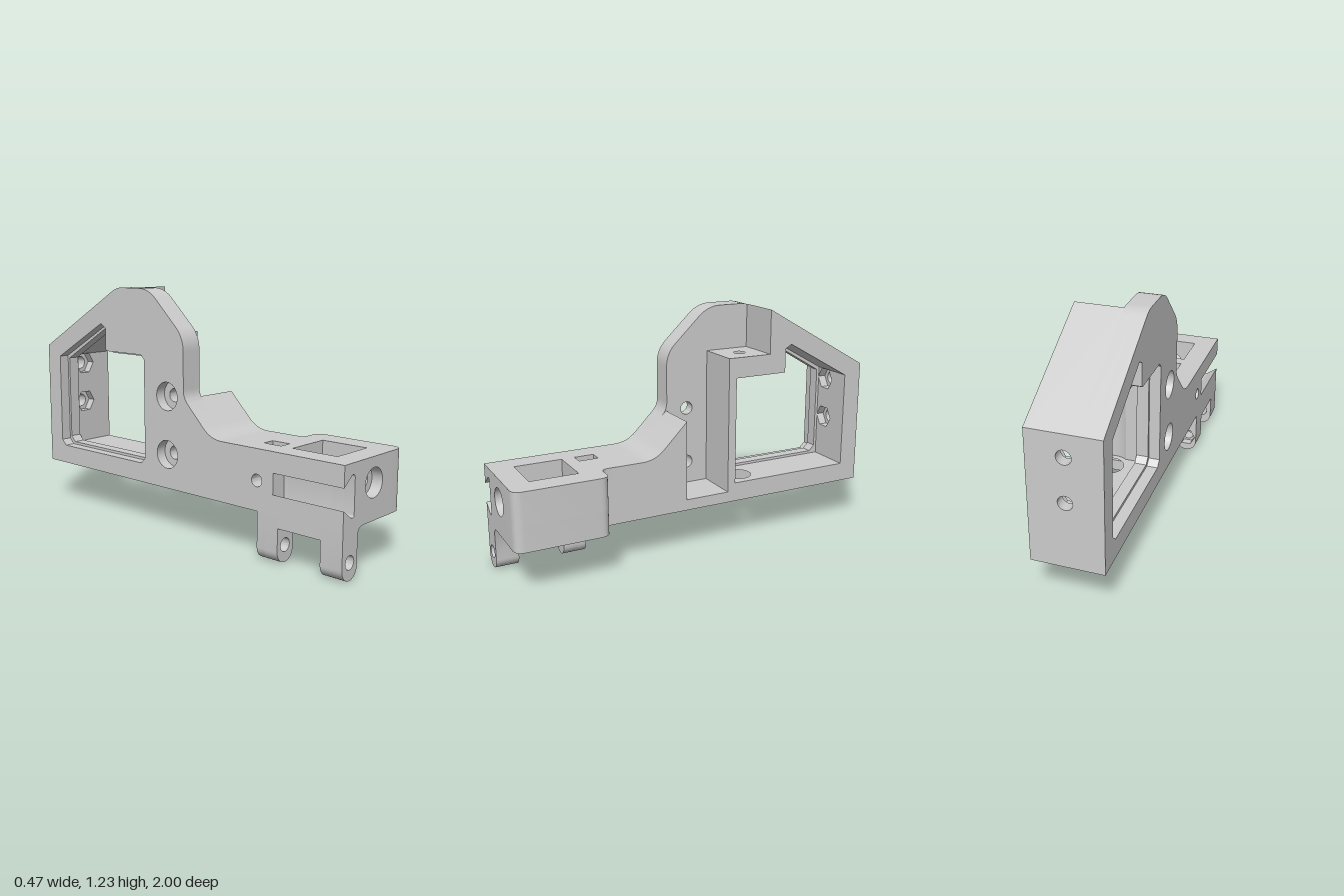
import * as THREE from 'three';
import { toCreasedNormals } from 'three/addons/utils/BufferGeometryUtils.js';

const L = -0.235, R = 0.115, MID = -0.12; // body sides and inner face of the thin wall

// Closed outline from [a, b, cornerRadius?] points; a radius rounds that corner.
function outline(points, path) {
  const n = points.length;
  points.forEach((p, i) => {
    const c = new THREE.Vector2(p[0], p[1]);
    const towards = (q) => new THREE.Vector2(q[0], q[1]).sub(c).setLength(p[2]).add(c);
    const move = (v) => (i === 0 ? path.moveTo(v.x, v.y) : path.lineTo(v.x, v.y));
    if (p[2]) {
      const a = towards(points[(i + n - 1) % n]), b = towards(points[(i + 1) % n]);
      move(a);
      path.quadraticCurveTo(c.x, c.y, b.x, b.y);
    } else move(c);
  });
  path.closePath();
  return path;
}

const rect = (a0, a1, b0, b1) => [[a0, b0], [a1, b0], [a1, b1], [a0, b1]];

// Regular polygon used for round bores (32 sides) and nut traps (6 sides)
function ring(a, b, r, sides = 32) {
  return Array.from({ length: sides }, (_, i) => {
    const t = (i / sides) * Math.PI * 2;
    return [a + r * Math.cos(t), b + r * Math.sin(t)];
  });
}

export function createModel() {
  const group = new THREE.Group();
  const material = new THREE.MeshStandardMaterial({ color: 0xcccccc });

  // Extrude a section from 'from' to 'to' along an axis.
  // Section coordinates: x -> (z, y), y -> (x, z), z -> (x, y)
  function solid(name, axis, from, to, points, holes = []) {
    const map = {
      x: (p) => [-p[0], p[1], p[2]],
      y: (p) => [p[0], -p[1], p[2]],
      z: (p) => p,
    }[axis];
    const shape = outline(points.map(map), new THREE.Shape());
    shape.holes = holes.map((h) => outline(h.map(map), new THREE.Path()));
    let g = new THREE.ExtrudeGeometry(shape, { depth: to - from, bevelEnabled: false, curveSegments: 8 });
    g.translate(0, 0, from);
    if (axis === 'x') g.rotateY(Math.PI / 2);
    if (axis === 'y') g.rotateX(-Math.PI / 2);
    g = toCreasedNormals(g, 0.5);
    const mesh = new THREE.Mesh(g, material);
    mesh.name = name;
    group.add(mesh);
  }

  // Thin side wall: full silhouette with window and stepped bolt holes
  const wall = [
    [0.62, 0.23], [-0.9, 0.23], [-0.9, 0.89], [-1, 0.89], [-0.415, 1.227, 0.04],
    [-0.18, 1.227, 0.07], [0.06, 1.0, 0.07], [0.06, 0.705, 0.04], [0.24, 0.525, 0.07], [0.62, 0.525],
  ];
  const frame = (d) => [
    [-0.217 - d, 0.36 + d], [-0.247 - d, 0.33 + d], [-0.87 + d, 0.33 + d], [-0.899 + d, 0.36 + d],
    [-0.899 + d, 0.835 - d], [-0.545, 1.035 - d], [-0.51 - d, 1.015 - d],
    [-0.51 - d, 0.9 - d], [-0.5 - d, 0.893 - d], [-0.24 - d, 0.893 - d], [-0.217 - d, 0.87 - d],
  ];
  const crossHole = ring(0.525, 0.375, 0.03);
  const wallHoles = (d, r) => [frame(d), crossHole, ring(-0.055, 0.405, r), ring(-0.055, 0.7, r)];
  solid('sideWallOuter', 'x', L, -0.18, wall, wallHoles(0, 0.072));
  solid('sideWallInner', 'x', -0.18, MID, wall, wallHoles(0.014, 0.034));

  // Ramp and base bar beside the wall, with an upright nut slot
  const ramp = [
    [-0.175, 0.23], [-0.175, 0.287], [0.065, 0.287], [0.065, 0.7], [0.24, 0.525, 0.07],
  ];
  solid('rampSlotted', 'x', MID, -0.055, [
    ...ramp, [0.475, 0.525], [0.475, 0.3], [0.575, 0.3], [0.575, 0.525], [0.62, 0.525], [0.62, 0.23],
  ]);
  solid('ramp', 'x', -0.055, R, [...ramp, [0.62, 0.525], [0.62, 0.23]]);

  // Box frame around the window: floor, grooved column, lid and sloped roof
  solid('frameFloor', 'y', 0.23, 0.33, rect(MID, R, -0.9, -0.175), [ring(0, -0.3, 0.072)]);
  const groove = Array.from({ length: 9 }, (_, i) => {
    const t = -0.64 + i * 0.16;
    return [0.1 * Math.sin(t), -0.3 + 0.1 * Math.cos(t)];
  });
  solid('frameColumn', 'y', 0.33, 0.89, [[MID, -0.175], [MID, -0.219], ...groove, [R, -0.219], [R, -0.175]]);
  solid('frameLid', 'y', 0.89, 0.995, rect(MID, R, -0.415, -0.175), [ring(0, -0.3, 0.03)]);
  solid('frameRoof', 'x', MID, R, [
    [-0.9, 0.835], [-0.9, 0.89], [-1, 0.89], [-0.415, 1.223], [-0.415, 0.89],
    [-0.51, 0.89], [-0.51, 1.015], [-0.545, 1.035],
  ]);

  // Rear wall: two screw holes with nut traps on the inside
  const screws = (r, sides) => [0.56, 0.78].map((y) => ring(-0.06, y, r, sides));
  solid('rearWall', 'z', -1, -0.945, rect(L, R, 0.23, 0.89), screws(0.035));
  solid('rearNutTraps', 'z', -0.945, -0.9, rect(L, R, 0.23, 0.89), screws(0.062, 6));

  // Head: dovetail groove on one side, square shaft, stepped bore in the front
  const head = (right) => [
    [L, 0.23], [right, 0.23], [right, 0.525], [L, 0.525], [L, 0.425],
    [-0.165, 0.48, 0.02], [-0.153, 0.465, 0.01], [-0.153, 0.285, 0.01], [-0.165, 0.275, 0.02], [L, 0.325],
  ];
  solid('headRear', 'z', 0.62, 0.642, head(R));
  solid('headSide', 'z', 0.642, 0.885, head(MID));
  solid('headFrontInner', 'z', 0.885, 0.945, head(R), [ring(0, 0.405, 0.034)]);
  solid('headFront', 'z', 0.945, 1, head(R), [ring(0, 0.405, 0.07)]);
  const flank = [
    [R, 1], [0.235, 1, 0.05], [0.235, 0.53, 0.05], [R, 0.53, 0.035], [R, 0.46],
  ];
  solid('headFlankLower', 'y', 0.23, 0.36, flank, [ring(0.185, 0.76, 0.025)]);
  solid('headFlank', 'y', 0.36, 0.525, flank);

  // Sloped ledges at the foot of the shaft
  solid('shaftLedgeRear', 'x', MID, R, [[0.642, 0.23], [0.67, 0.23], [0.67, 0.25], [0.642, 0.28]]);
  solid('shaftLedgeFront', 'x', MID, R, [[0.885, 0.23], [0.853, 0.23], [0.853, 0.25], [0.885, 0.28]]);

  // Hinge lugs with pin holes; the rear one has a nut trap
  const lug = [
    [L, 0.23], [L, 0.058], ...ring(-0.1775, 0.0575, 0.0575).slice(17, 32),
    [MID, 0.058], [MID, 0.2], [-0.111, 0.221], [-0.09, 0.23],
  ];
  const pin = ring(-0.1775, 0.083, 0.033);
  solid('frontLug', 'z', 0.885, 1, lug, [pin]);
  solid('rearLug', 'z', 0.575, 0.65, lug, [pin]);
  solid('rearLugNutTrap', 'z', 0.53, 0.575, lug, [ring(-0.1775, 0.083, 0.05, 6)]);

  // Bridge between the lugs
  solid('lugBridge', 'z', 0.65, 0.885, [
    [L, 0.23], [L, 0.172], [-0.175, 0.172], [-0.135, 0.2], [-0.12, 0.23],
  ]);
  return group;
}
